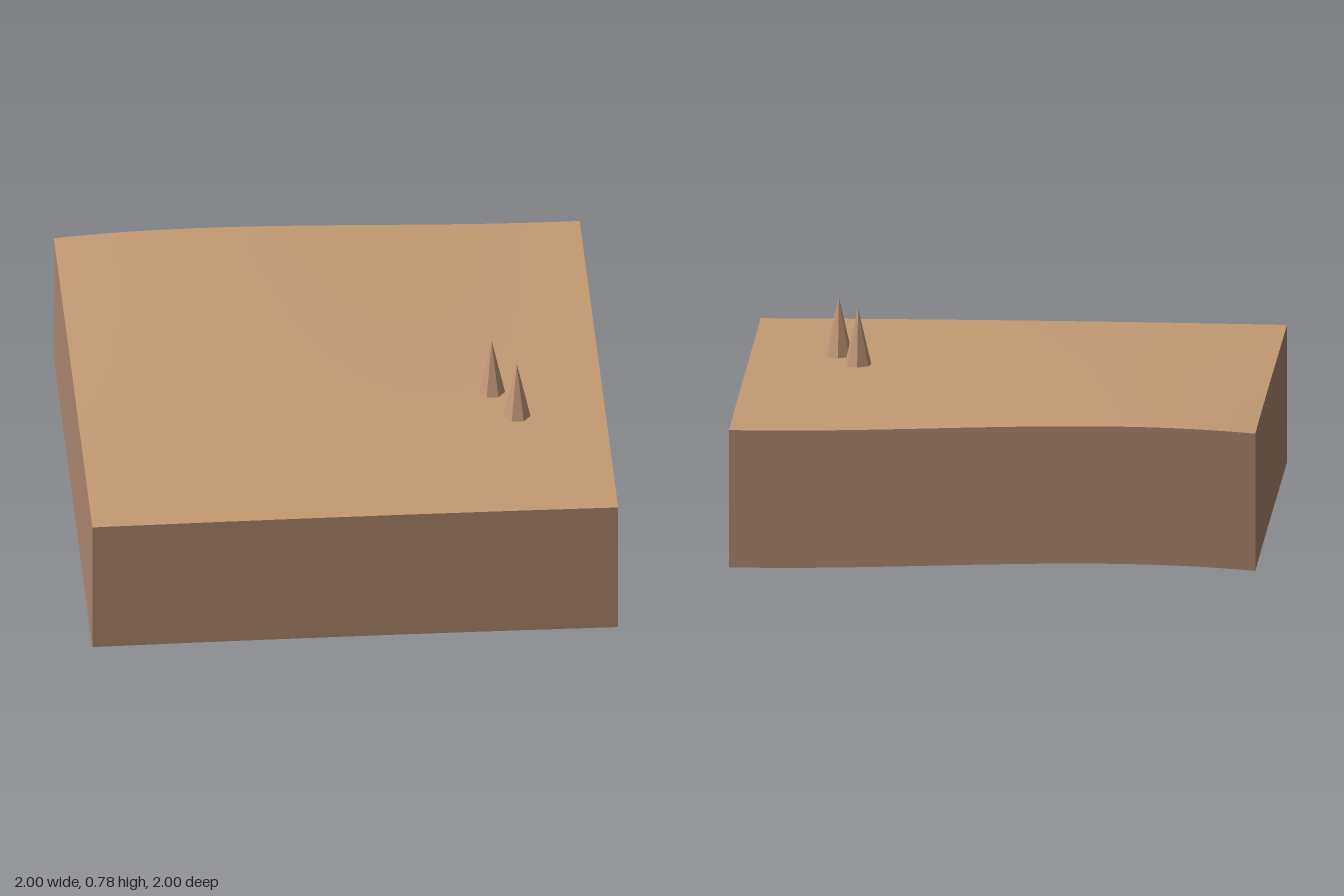
import * as THREE from 'three';

const DEPTH = 0.535;

// Gentle rolling ground: a blend between the front and back edge profiles
function groundHeight(x, z) {
  const front = 0.536 + 0.004 * (1 - x * x) - 0.001 * x;
  const back = 0.596 - 0.033 * x - 0.0185 * x * x + 0.026 * x ** 3;
  const t = (1 - z) / 2;
  const s = t + 0.6 * t * t * (1 - t);
  return front + (back - front) * s;
}

export function createModel() {
  const group = new THREE.Group();
  const sand = new THREE.MeshStandardMaterial({ color: 0xc49b73, side: THREE.DoubleSide });
  sand.name = 'sand';
  const earth = new THREE.MeshStandardMaterial({ color: 0xa8846c, side: THREE.DoubleSide });
  earth.name = 'earth';
  const spike = new THREE.MeshStandardMaterial({ color: 0xc49b78, flatShading: true });
  spike.name = 'sandstone';

  const add = (name, geometry, material) => {
    const mesh = new THREE.Mesh(geometry, material);
    mesh.name = name;
    group.add(mesh);
    return mesh;
  };

  // Ground surface
  const ground = new THREE.PlaneGeometry(2, 2, 32, 32).rotateX(-Math.PI / 2);
  const gp = ground.attributes.position;
  for (let i = 0; i < gp.count; i++) gp.setY(i, groundHeight(gp.getX(i), gp.getZ(i)));
  ground.computeVertexNormals();
  add('ground', ground, sand);

  // Skirt walls hang a constant depth below the ground, open underneath
  ['frontWall', 'leftWall', 'backWall', 'rightWall'].forEach((name, k) => {
    const wall = new THREE.PlaneGeometry(2, 1, 32, 1).translate(0, 0, 1).rotateY(k * Math.PI / 2);
    const p = wall.attributes.position;
    for (let i = 0; i < p.count; i++) {
      const drop = p.getY(i) < 0 ? DEPTH : 0;
      p.setY(i, groundHeight(p.getX(i), p.getZ(i)) - drop);
    }
    add(name, wall, earth);
  });

  // Two pointed rock spikes
  [[0.58, 0.165], [0.663, 0.335]].forEach(([x, z], i) => {
    const cone = add('spike' + (i + 1), new THREE.ConeGeometry(0.053, 0.23, 7), spike);
    cone.position.set(x, 0.664, z);
    cone.rotation.y = Math.PI;
  });

  return group;
}
